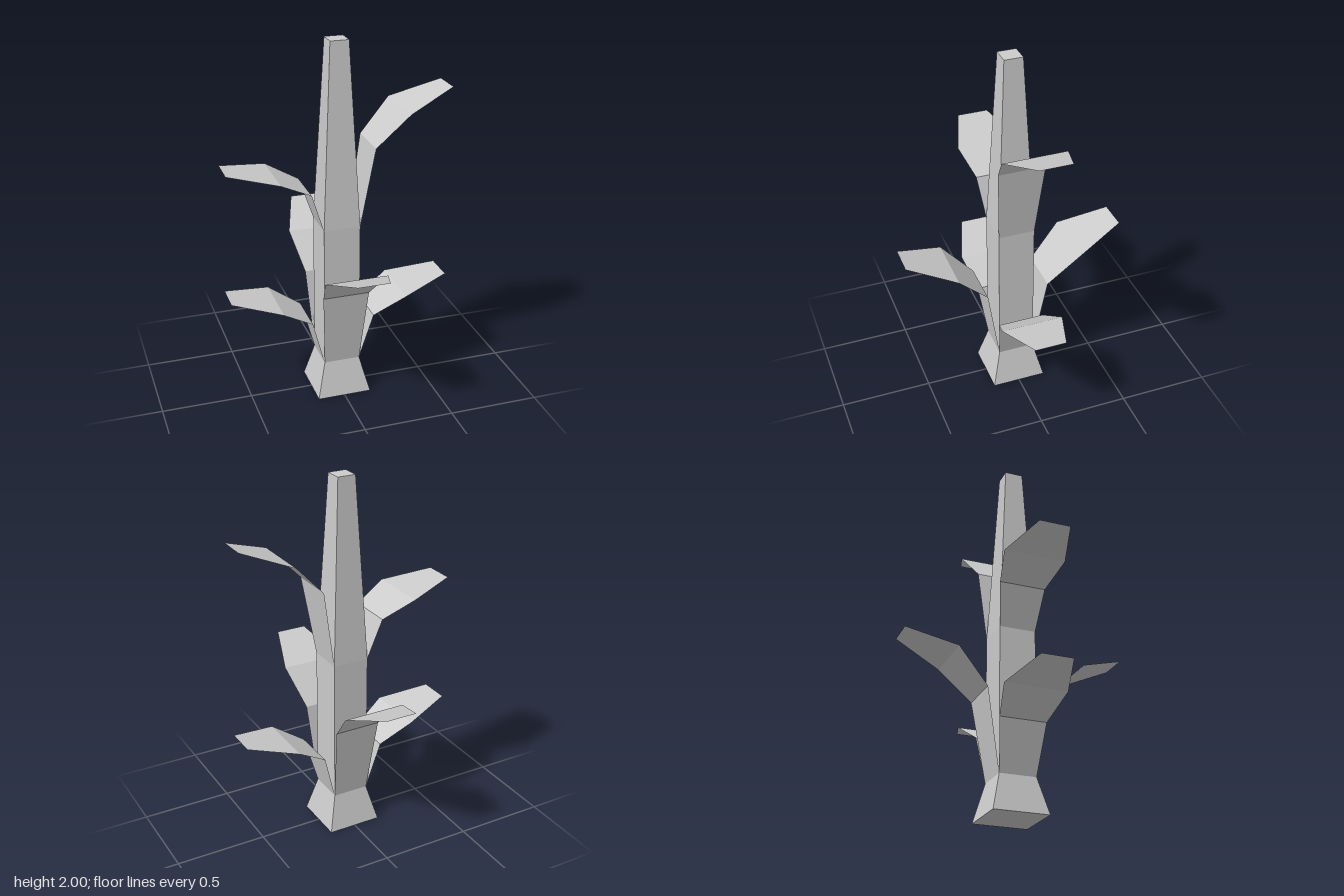
import * as THREE from 'three';

const trunkMaterial = new THREE.MeshStandardMaterial({ color: 0xcccccc, flatShading: true });
const leafMaterial = new THREE.MeshStandardMaterial({ color: 0xcccccc, flatShading: true, side: THREE.DoubleSide });

// Leaf stations from root to tip: [distance from axis, half width, share of the rise]
const STATIONS = [[0.1, 0.1, 0], [0.173, 0.128, 0.613], [0.345, 0.171, 0.863], [0.608, 0.085, 1]];

// Thin folded leaf growing out along +z from its base height
function leafGeometry(baseY, rise) {
  const geometry = new THREE.PlaneGeometry(2, 1, 1, STATIONS.length - 1);
  const position = geometry.attributes.position;
  for (let i = 0; i < position.count; i++) {
    const [out, half, share] = STATIONS[STATIONS.length - 1 - Math.floor(i / 2)];
    position.setXYZ(i, position.getX(i) * half, baseY + rise * share, out);
  }
  geometry.computeVertexNormals();
  return geometry;
}

export function createModel() {
  const plant = new THREE.Group();
  plant.name = 'plant';

  // Square tapering trunk with a flared foot: [half width, height]
  const profile = [[0, 0], [0.15, 0], [0.1, 0.2], [0.1, 1], [0.05, 2], [0, 2]]
    .map(([half, y]) => new THREE.Vector2(half * Math.SQRT2, y));
  const trunk = new THREE.Mesh(new THREE.LatheGeometry(profile, 4, Math.PI / 4), trunkMaterial);
  trunk.name = 'trunk';
  plant.add(trunk);

  // Leaves: [name, quarter turns from the front, base height, rise]
  const leaves = [
    ['frontLeaf', 0, 0.2, 0.717],
    ['backLeaf', 2, 0.2, 0.717],
    ['lowerLeftLeaf', 1, 0.2, 0.437],
    ['lowerRightLeaf', 3, 0.2, 0.437],
    ['upperLeftLeaf', 1, 1, 0.717],
    ['upperRightLeaf', 3, 1, 0.362],
  ];
  for (const [name, turns, baseY, rise] of leaves) {
    const leaf = new THREE.Mesh(leafGeometry(baseY, rise), leafMaterial);
    leaf.name = name;
    leaf.rotation.y = turns * Math.PI / 2;
    plant.add(leaf);
  }
  return plant;
}
